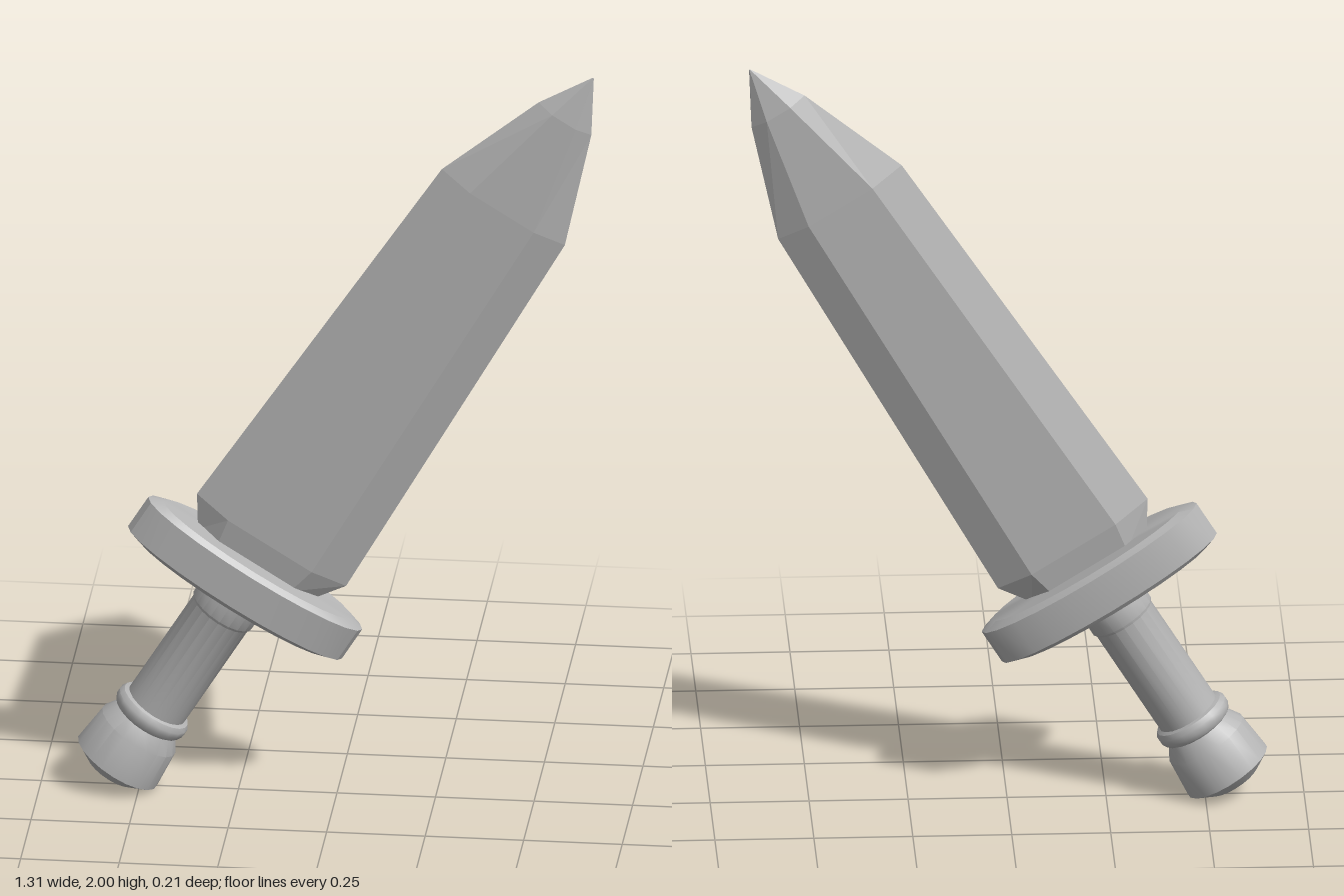
import * as THREE from 'three';
import { toCreasedNormals } from 'three/addons/utils/BufferGeometryUtils.js';

// Blade: six-sided cross-sections [height, half width, half width of flat, half thickness]
function bladeGeometry() {
  const sections = [
    [0.42, 0.17, 0.11, 0.032],
    [0.50, 0.223, 0.125, 0.042],
    [1.61, 0.184, 0.095, 0.038],
    [1.905, 0.079, 0.035, 0.025],
    [2.04, 0.002, 0.001, 0.001],
  ];
  const pos = [], index = [];
  for (const [y, w, f, t] of sections) {
    pos.push(w, y, 0, f, y, t, -f, y, t, -w, y, 0, -f, y, -t, f, y, -t);
  }
  for (let s = 0; s < sections.length - 1; s++) {
    for (let i = 0; i < 6; i++) {
      const a = s * 6 + i, b = s * 6 + (i + 1) % 6;
      index.push(a, a + 6, b, b, a + 6, b + 6);
    }
  }
  const top = (sections.length - 1) * 6;
  for (let i = 1; i < 5; i++) {
    index.push(0, i, i + 1);
    index.push(top, top + i + 1, top + i);
  }
  const g = new THREE.BufferGeometry();
  g.setAttribute('position', new THREE.Float32BufferAttribute(pos, 3));
  g.setIndex(index);
  const flat = g.toNonIndexed();
  flat.computeVertexNormals();
  return flat;
}

// Turned part with an oval section; profile runs bottom to top as [radius, height]
function turned(profile, segments, sx, sz, crease) {
  const g = new THREE.LatheGeometry(profile.map(([r, y]) => new THREE.Vector2(r, y)), segments);
  g.scale(sx, 1, sz);
  return toCreasedNormals(g, crease);
}

export function createModel() {
  const steel = new THREE.MeshStandardMaterial({ color: 0xb4b4b4 });
  steel.name = 'grey steel';
  const model = new THREE.Group();
  model.name = 'dagger';

  // Everything is built upright, then leaned over
  const leaning = new THREE.Group();
  leaning.name = 'leaningDagger';
  leaning.rotation.z = -THREE.MathUtils.degToRad(32);
  leaning.position.set(-0.431, 0.269, 0);
  model.add(leaning);

  const add = (name, geometry) => {
    const mesh = new THREE.Mesh(geometry, steel);
    mesh.name = name;
    leaning.add(mesh);
  };

  add('blade', bladeGeometry());

  // Oval guard with a small bevel on both faces
  add('guard', turned(
    [[0, 0.312], [0.88, 0.312], [1, 0.325], [1, 0.422], [0.88, 0.435], [0, 0.435]],
    24, 0.32, 0.096, 0.4));

  // Grip with a collar below the guard
  add('grip', turned(
    [[0, -0.08], [0.083, -0.08], [0.083, 0.26], [0.088, 0.268], [0.088, 0.32], [0, 0.32]],
    20, 1, 0.95, 0.6));

  // Ring between grip and pommel
  add('gripRing', turned(
    [[0.08, -0.1], [0.094, -0.092], [0.101, -0.078], [0.101, -0.064], [0.094, -0.052], [0.08, -0.046]],
    20, 1, 0.92, 0.6));

  // Flared pommel
  add('pommel', turned(
    [[0, -0.268], [0.07, -0.268], [0.118, -0.237], [0.109, -0.135], [0.086, -0.096], [0, -0.09]],
    20, 1, 0.9, 0.5));

  return model;
}
